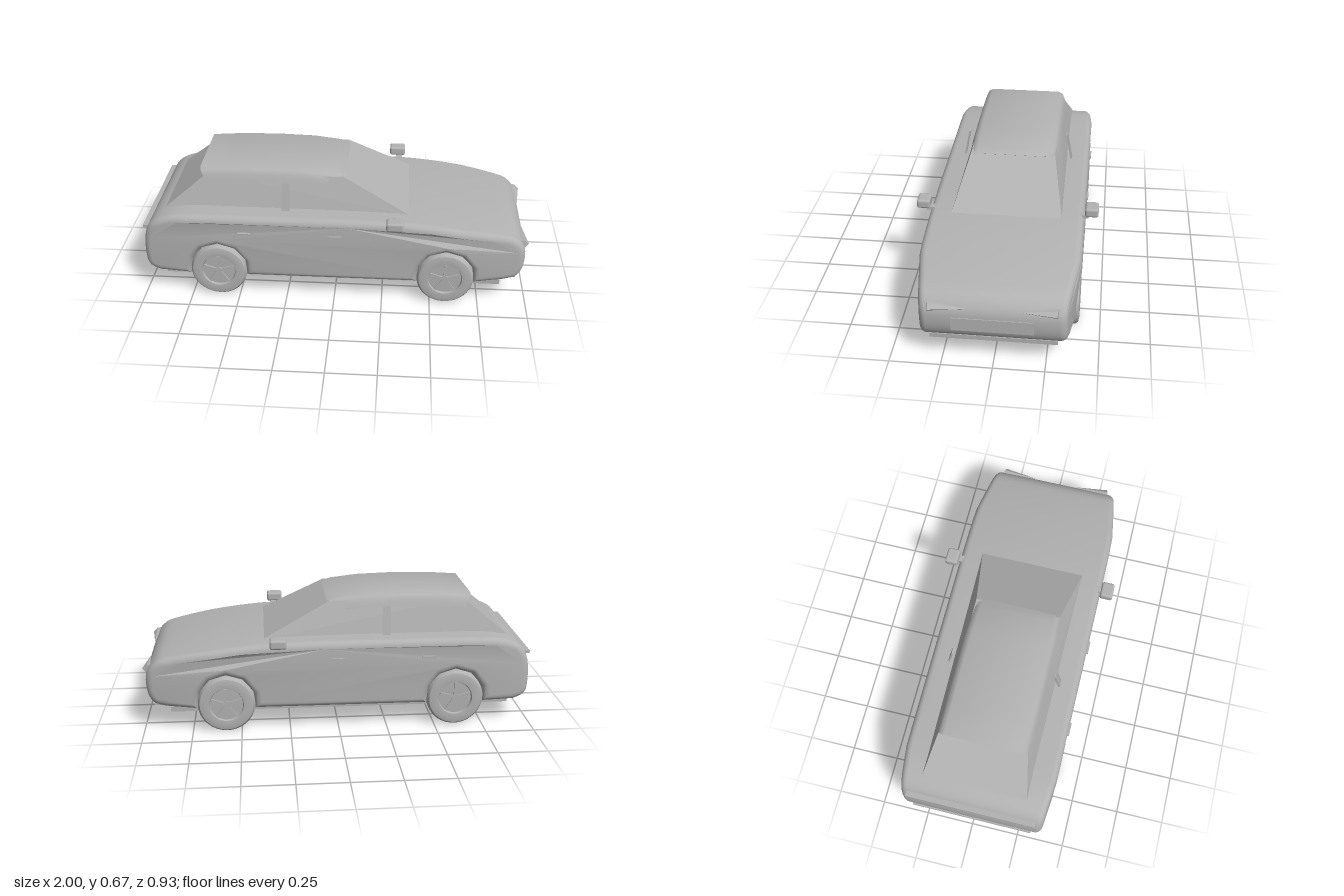
import * as THREE from 'three';
import { toCreasedNormals } from 'three/addons/utils/BufferGeometryUtils.js';
import { RoundedBoxGeometry } from 'three/addons/geometries/RoundedBoxGeometry.js';
import { ConvexGeometry } from 'three/addons/geometries/ConvexGeometry.js';

const paint = new THREE.MeshStandardMaterial({ color: 0xb2b2b2 });
paint.name = 'plain grey';

const WHEEL_Y = 0.15, AXLES = [-0.605, 0.575];

function add(parent, name, geometry, x = 0, y = 0, z = 0) {
  const mesh = new THREE.Mesh(geometry, paint);
  mesh.name = name;
  mesh.position.set(x, y, z);
  parent.add(mesh);
  return mesh;
}

// Box given by its limits on each axis
function box(parent, name, [x0, x1], [y0, y1], [z0, z1]) {
  return add(parent, name, new THREE.BoxGeometry(x1 - x0, y1 - y0, z1 - z0),
    (x0 + x1) / 2, (y0 + y1) / 2, (z0 + z1) / 2);
}

const hull = (pts) => new ConvexGeometry(pts.map((p) => new THREE.Vector3(...p)));

// Side profile with wheel arches, rounded at the shoulders and narrowed at both ends
function bodyGeometry() {
  const s = new THREE.Shape();
  s.moveTo(-0.92, 0.12);
  for (const x of AXLES) s.absarc(x, WHEEL_Y, 0.15, Math.PI + 0.2, -0.2, true);
  s.lineTo(0.88, 0.13);
  s.splineThru([[0.94, 0.145], [0.972, 0.19], [0.982, 0.26], [0.972, 0.32], [0.93, 0.37], [0.86, 0.395],
    [0.65, 0.432], [0.36, 0.464], [0, 0.47], [-0.4, 0.47], [-0.75, 0.468], [-0.88, 0.448],
    [-0.955, 0.405], [-0.99, 0.32], [-0.994, 0.2], [-0.975, 0.145], [-0.92, 0.12]]
    .map(([x, y]) => new THREE.Vector2(x, y)));
  const bevel = 0.035;
  const g = new THREE.ExtrudeGeometry(s, {
    depth: 0.79 - 2 * bevel, curveSegments: 3, bevelEnabled: true,
    bevelSize: bevel, bevelThickness: bevel, bevelOffset: -bevel, bevelSegments: 5,
  });
  g.translate(0, 0, -0.395 + bevel);
  const p = g.attributes.position;
  for (let i = 0; i < p.count; i++) {
    const x = p.getX(i);
    const nose = Math.max(0, x - 0.65) * 0.38, tail = Math.max(0, -0.75 - x) * 0.24;
    p.setZ(i, p.getZ(i) * (1 - nose - tail));
  }
  return toCreasedNormals(g, 0.6);
}

// Roof shell lofted along x: [top x, bottom x, top y, bottom y, width scale]
function roofGeometry() {
  const rows = [
    [-0.705, -0.67, 0.657, 0.59, 1], [-0.55, -0.53, 0.668, 0.6, 1], [-0.35, -0.35, 0.672, 0.604, 1],
    [-0.15, -0.15, 0.666, 0.602, 1], [0, 0, 0.65, 0.588, 0.98], [0.05, 0.035, 0.633, 0.622, 0.94],
  ];
  const half = [[0.24, 0], [0.23, 0.5], [0.217, 0.85], [0.195, 1]];
  const ring = [...half, ...half.slice().reverse().map(([z, f]) => [-z, f])];
  const n = ring.length, pos = [], idx = [];
  for (const [xt, xb, top, bot, w] of rows)
    for (const [z, f] of ring) pos.push(xb + f * (xt - xb), bot + f * (top - bot), z * w);
  for (let i = 0; i < rows.length - 1; i++)
    for (let j = 0; j < n; j++) {
      const a = i * n + j, c = i * n + (j + 1) % n;
      idx.push(a, a + n, c, c, a + n, c + n);
    }
  const e = (rows.length - 1) * n;
  for (let j = 1; j < n - 1; j++) idx.push(0, j, j + 1, e, e + j + 1, e + j);
  const g = new THREE.BufferGeometry();
  g.setAttribute('position', new THREE.Float32BufferAttribute(pos, 3));
  g.setIndex(idx);
  return toCreasedNormals(g.toNonIndexed(), 0.7);
}

// Wheel with its outer face towards +z, 0.095 wide
function makeWheel() {
  const wheel = new THREE.Group();
  wheel.name = 'wheel';
  const tyre = new THREE.LatheGeometry([
    [0.001, -0.045], [0.115, -0.0475], [0.136, -0.043], [0.146, -0.03], [0.147, 0],
    [0.146, 0.03], [0.136, 0.043], [0.115, 0.0475], [0.088, 0.045], [0.084, 0.034], [0.001, 0.034],
  ].map(([r, y]) => new THREE.Vector2(r, y)), 48);
  tyre.rotateX(Math.PI / 2);
  add(wheel, 'tyre', toCreasedNormals(tyre.toNonIndexed(), 0.7));
  for (let i = 0; i < 5; i++) {
    const spoke = new THREE.BoxGeometry(0.014, 0.08, 0.012);
    spoke.translate(0, 0.043, 0.036);
    add(wheel, 'spoke', spoke).rotation.z = i * Math.PI * 2 / 5;
  }
  const hub = new THREE.CylinderGeometry(0.018, 0.018, 0.014, 20);
  hub.rotateX(Math.PI / 2);
  add(wheel, 'hub', hub, 0, 0, 0.037);
  return wheel;
}

export function createModel() {
  const car = new THREE.Group();
  car.name = 'car';

  // Body shell, inner wheel housing and floor
  add(car, 'body', bodyGeometry());
  box(car, 'innerFloor', [-0.85, 0.8], [0.115, 0.34], [-0.29, 0.29]);
  box(car, 'underbody', [-0.89, 0.86], [0.1, 0.13], [-0.345, 0.345]);

  // Cabin glass and roof
  const cabin = [];
  for (const s of [-1, 1])
    cabin.push([-0.885, 0.455, s * 0.272], [0.39, 0.455, s * 0.283],
      [-0.66, 0.64, s * 0.222], [0.04, 0.635, s * 0.222]);
  add(car, 'cabin', hull(cabin));
  add(car, 'roof', roofGeometry());

  // Bumper strips, rear trim and number plate panel
  box(car, 'frontBumperStrip', [0.86, 0.945], [0.122, 0.145], [-0.305, 0.305]);
  box(car, 'rearTrimStrip', [-0.998, -0.96], [0.365, 0.38], [-0.34, 0.34]);
  box(car, 'rearBumperStrip', [-0.998, -0.96], [0.155, 0.172], [-0.32, 0.32]);
  box(car, 'frontPanel', [0.979, 0.986], [0.205, 0.275], [-0.196, 0.196]);

  for (const s of [-1, 1]) {
    const side = (a, b) => (s > 0 ? [a, b] : [-b, -a]);
    for (const x of AXLES) {
      const wheel = makeWheel();
      wheel.position.set(x, WHEEL_Y - 0.003, s * 0.3475);
      if (s < 0) wheel.rotation.y = Math.PI;
      car.add(wheel);
    }
    // Leaning door pillar
    const pillar = box(car, 'doorPillar', [-0.275, -0.235], [0.46, 0.615], side(0.28, 0.288));
    pillar.rotation.x = -s * 0.19;
    // Door handles
    for (const x of [-0.46, 0.005])
      box(car, 'doorHandle', [x - 0.035, x + 0.035], [0.374, 0.385], side(0.39, 0.404));
    // Mirrors on short feet
    add(car, 'mirror', new RoundedBoxGeometry(0.085, 0.048, 0.068, 3, 0.012), 0.308, 0.484, s * 0.43);
    box(car, 'mirrorFoot', [0.3, 0.335], [0.447, 0.463], side(0.365, 0.415));
    // Wedge headlights
    add(car, 'headlight', hull([
      [0.92, 0.348, s * 0.318], [0.93, 0.3, s * 0.312], [0.975, 0.345, s * 0.305],
      [0.975, 0.302, s * 0.308], [0.998, 0.325, s * 0.3], [0.974, 0.325, s * 0.12], [0.93, 0.325, s * 0.14],
    ]));
  }
  return car;
}
